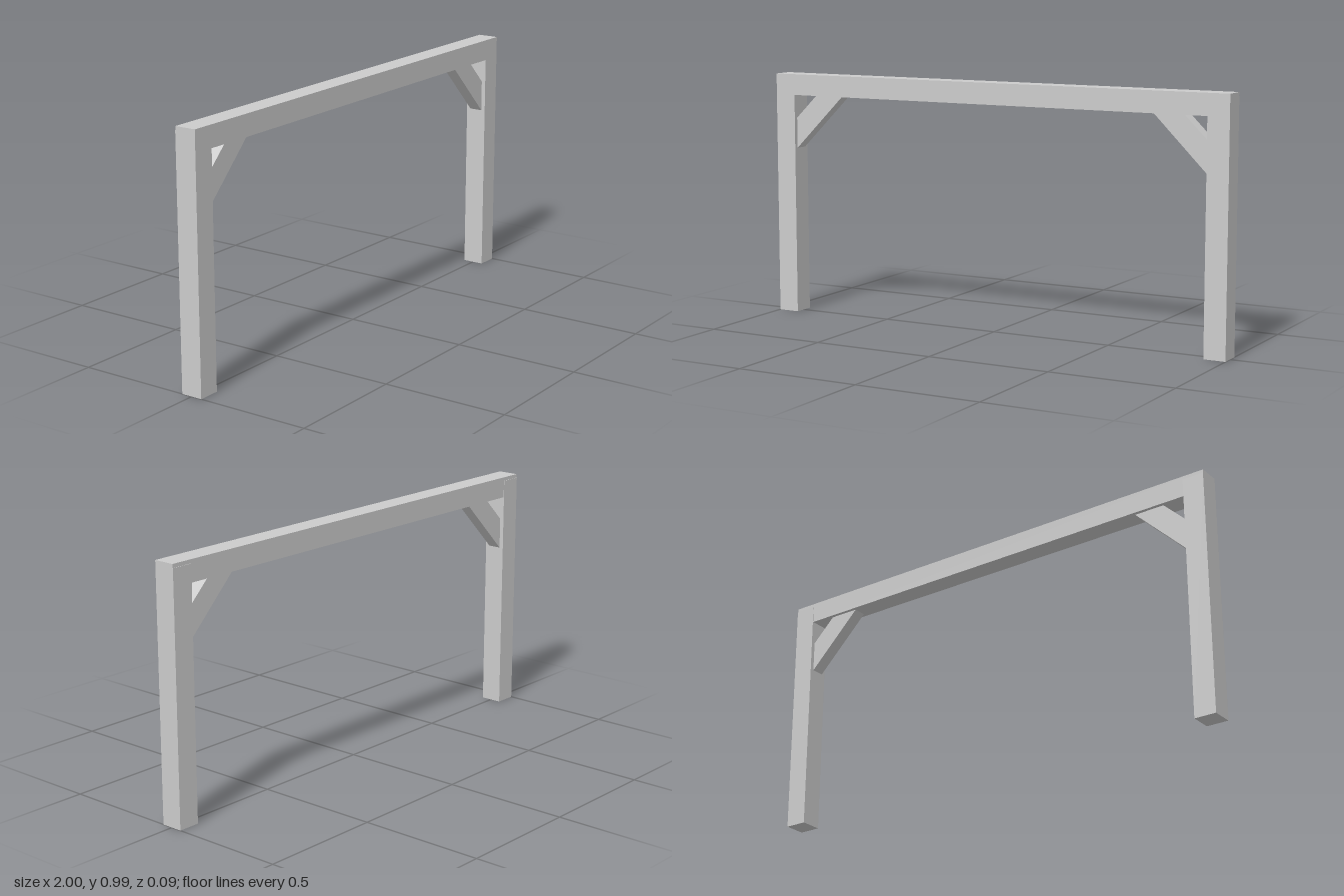
import * as THREE from 'three';

export function createModel() {
  const group = new THREE.Group();
  const mat = new THREE.MeshStandardMaterial({ color: 0xcccccc, flatShading: true });
  const add = (name, geometry, x = 0, y = 0, z = 0) => {
    const mesh = new THREE.Mesh(geometry, mat);
    mesh.name = name;
    mesh.position.set(x, y, z);
    group.add(mesh);
  };

  const top = 0.99, under = 0.905, inner = 0.912, postTop = 0.975;

  // Crossbeam, its back set in a hair from the posts
  add('crossbeam', new THREE.BoxGeometry(2, top - under, 0.086), 0, (top + under) / 2, 0.001);

  for (const [side, s] of [['left', 1], ['right', -1]]) {
    // Square post
    add(`${side}Post`, new THREE.BoxGeometry(1 - inner, postTop, 0.088), s * (1 + inner) / 2, postTop / 2, 0);

    // Diagonal corner brace, thinner than the post
    const depth = 0.054;
    const outline = [[inner, 0.685], [inner, 0.81], [0.815, under], [0.69, under]];
    const shape = new THREE.Shape(outline.map(([x, y]) => new THREE.Vector2(s * x, y)));
    add(`${side}Brace`, new THREE.ExtrudeGeometry(shape, { depth, bevelEnabled: false }), 0, 0, -depth / 2);
  }
  return group;
}
